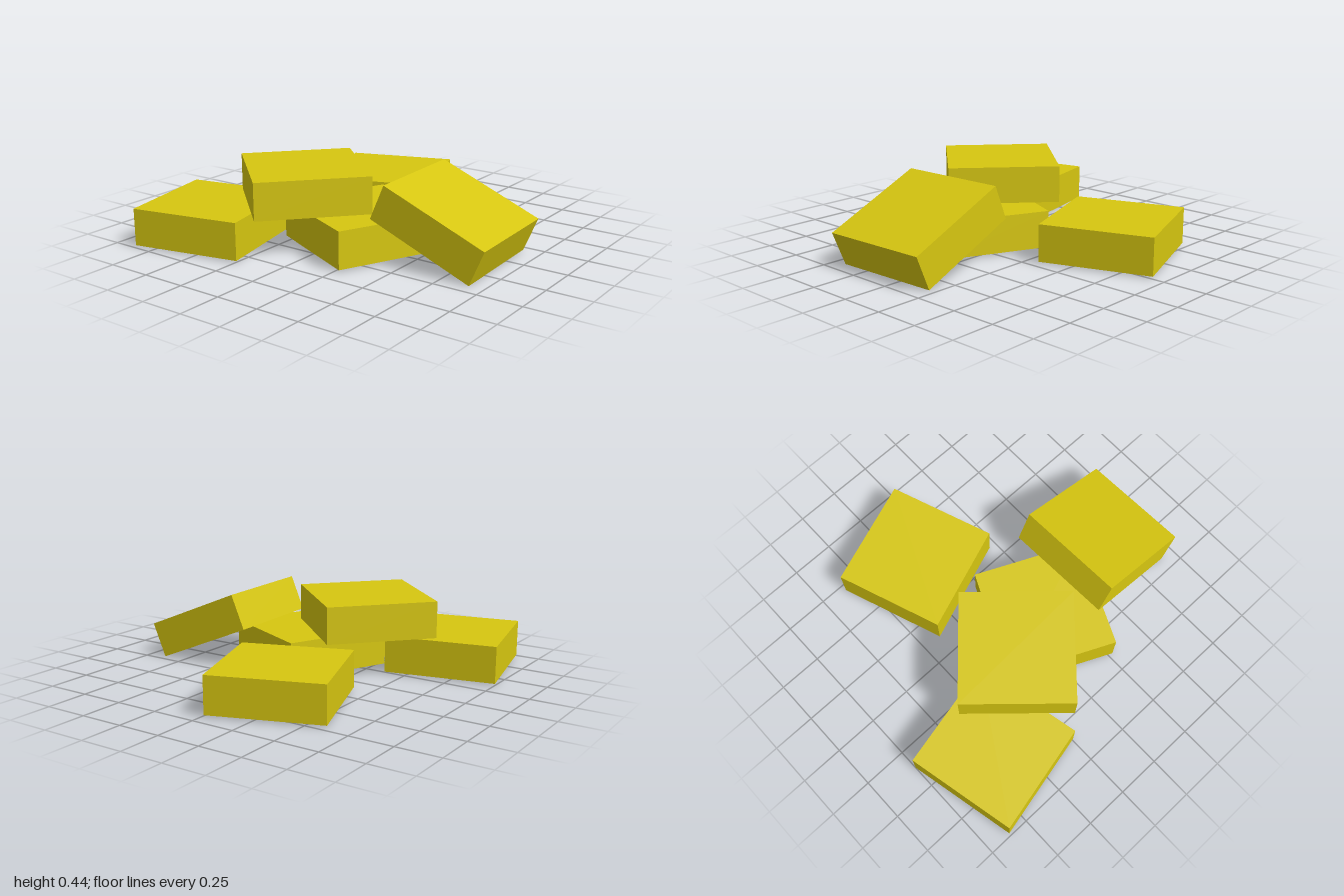
import * as THREE from 'three';

const WIDTH = 0.633;
const HEIGHT = 0.21;

// name, centre [x, y, z], turn about the vertical, downward tilt
const BLOCKS = [
  ['backBlock', [-0.2, 0.115, -0.52], 0.347, 0],
  ['rightBlock', [-0.623, 0.115, 0.609], 0.217, 0],
  ['middleBlock', [0.122, 0.115, 0.224], -0.437, 0],
  ['topBlock', [-0.197, 0.326, 0.33], -0.742, 0],
  ['leaningBlock', [0.65, 0.22, 0.118], 0.039, -0.397],
];

export function createModel() {
  const group = new THREE.Group();
  group.name = 'blockPile';

  const yellow = new THREE.MeshStandardMaterial({ color: 0xd6c610 });
  yellow.name = 'yellow';
  const geometry = new THREE.BoxGeometry(WIDTH, HEIGHT, WIDTH);

  // Scattered square blocks, one stacked on top and one leaning on the pile
  for (const [name, position, turn, tilt] of BLOCKS) {
    const block = new THREE.Mesh(geometry, yellow);
    block.name = name;
    block.position.set(...position);
    block.rotation.set(0, turn, tilt);
    group.add(block);
  }
  return group;
}
